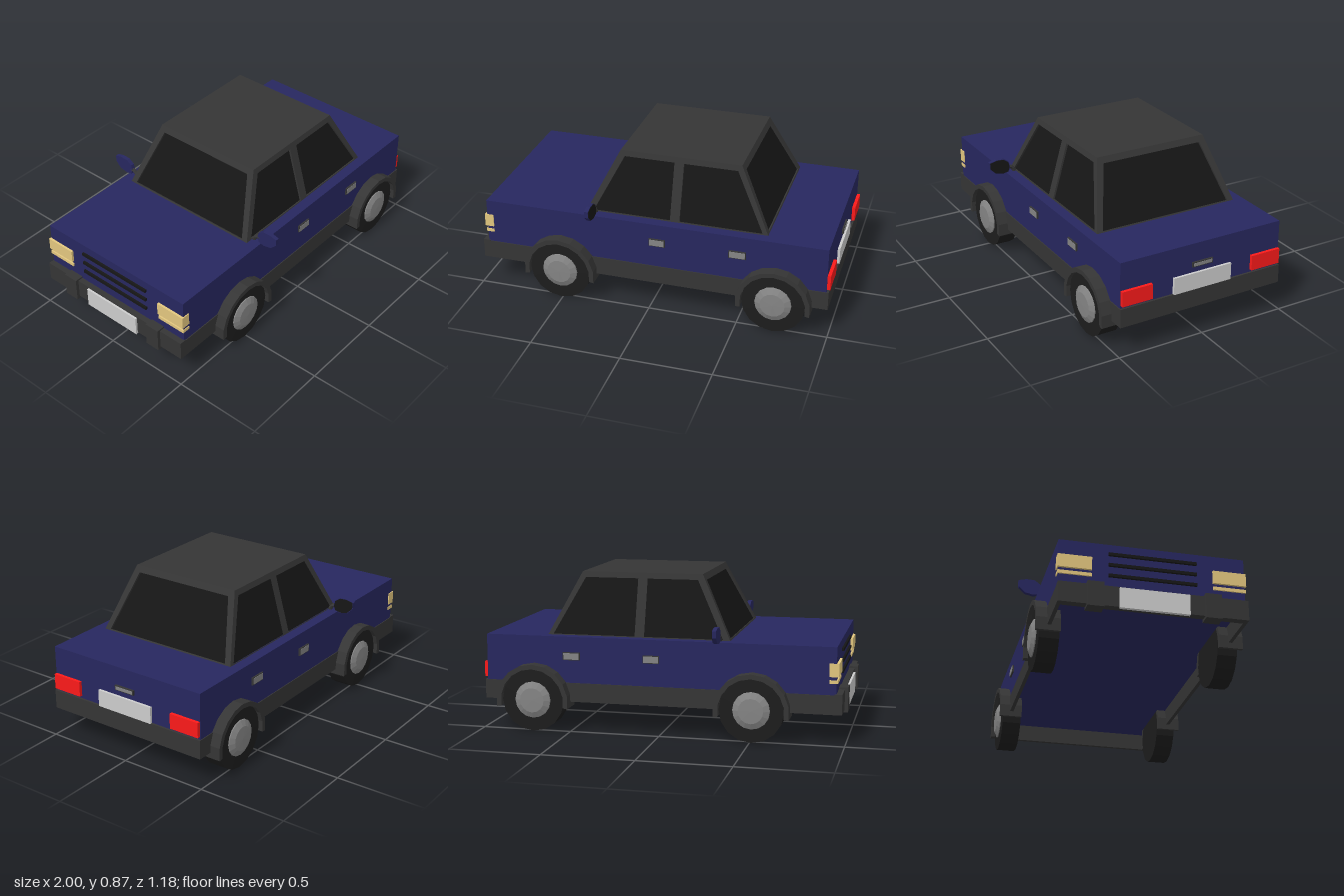
import * as THREE from 'three';

const mat = (color) => new THREE.MeshStandardMaterial({ color, flatShading: true });
const paint = mat(0x27275f), trim = mat(0x353535), glass = mat(0x161616), rubber = mat(0x1d1d1d);
const metal = mat(0x848484), plate = mat(0xc8c8c8), red = mat(0xfa1a1a), amber = mat(0xe2c67e);

export function createModel() {
  const car = new THREE.Group();
  car.name = 'car';

  const add = (name, geometry, material) => {
    const mesh = new THREE.Mesh(geometry, material);
    mesh.name = name;
    car.add(mesh);
    return mesh;
  };
  // Box given by its limits on each axis
  const box = (name, material, x0, x1, y0, y1, z0, z1) => {
    const m = add(name, new THREE.BoxGeometry(x1 - x0, y1 - y0, z1 - z0), material);
    m.position.set((x0 + x1) / 2, (y0 + y1) / 2, (z0 + z1) / 2);
  };
  // The same box on both sides of the car
  const pair = (name, material, x0, x1, y0, y1, z0, z1) => {
    box(name + 'Left', material, x0, x1, y0, y1, z0, z1);
    box(name + 'Right', material, x0, x1, y0, y1, -z1, -z0);
  };
  const poly = (pts) => pts.map(([x, y]) => new THREE.Vector2(x, y));
  const V = (x, y, z) => new THREE.Vector3(x, y, z);

  // Body (nose towards -x), with sills and bumpers hanging as a skirt around its floor
  box('body', paint, -0.95, 0.98, 0.262, 0.525, -0.485, 0.485);
  pair('sill', trim, -0.95, 0.98, 0.165, 0.27, 0.47, 0.49);
  box('rearBumper', trim, 0.97, 0.992, 0.165, 0.27, -0.49, 0.49);
  box('frontBumper', trim, -0.982, -0.94, 0.165, 0.275, -0.49, 0.49);
  pair('bumperGuard', trim, -1, -0.93, 0.15, 0.285, 0.26, 0.345);

  // Cabin: dark glass core inside a framed shell
  const y0 = 0.525, y1 = 0.868, h = y1 - y0, zb = 0.425, zt = 0.328;
  const frustum = ([xa, xb, z0, bottom], [xc, xd, z1, top]) => {
    const g = new THREE.BoxGeometry(1, 1, 1), p = g.attributes.position;
    for (let i = 0; i < p.count; i++) {
      const [x0, x1, z, y] = p.getY(i) > 0 ? [xc, xd, z1, top] : [xa, xb, z0, bottom];
      p.setXYZ(i, p.getX(i) > 0 ? x1 : x0, y, Math.sign(p.getZ(i)) * z);
    }
    g.computeVertexNormals();
    return g;
  };
  add('windows', frustum([-0.364, 0.632, zb - 0.01, y0], [-0.196, 0.461, zt - 0.01, 0.86]), glass);
  add('roof', frustum([-0.218, 0.483, 0.335, 0.842], [-0.205, 0.47, zt, y1]), trim);

  // A sloped panel with window openings, sunk inwards from its outer face
  const frame = (name, outline, holes, origin, u, v) => {
    const shape = new THREE.Shape(poly(outline));
    holes.forEach((hole) => shape.holes.push(new THREE.Path(poly(hole))));
    const depth = 0.014;
    const g = new THREE.ExtrudeGeometry(shape, { depth, bevelEnabled: false });
    g.translate(0, 0, -depth);
    v.normalize();
    const n = new THREE.Vector3().crossVectors(u, v);
    g.applyMatrix4(new THREE.Matrix4().makeBasis(u, v, n).setPosition(origin));
    add(name, g, trim);
  };
  for (const s of [1, -1]) {
    const L = Math.hypot(h, zb - zt), lo = 0.014 * L, hi = 0.91 * L;
    // u runs along +x on the left and -x on the right
    const f = (pts) => pts.map(([x, y]) => [x * s, y]);
    frame('sideFrame' + (s > 0 ? 'Left' : 'Right'),
      f([[-0.375, 0], [0.643, 0], [0.47, L], [-0.205, L]]),
      [f([[-0.335, lo], [0.1, lo], [0.1, hi], [-0.18, hi]]),
        f([[0.153, lo], [0.613, lo], [0.45, hi], [0.153, hi]])],
      V(0, y0, s * zb), V(s, 0, 0), V(0, h, -s * (zb - zt)));
  }
  for (const [name, s, xb, run] of [['windscreenFrame', -1, -0.375, 0.17], ['rearScreenFrame', 1, 0.643, 0.173]]) {
    const L = Math.hypot(h, run), lo = 0.02 * L, hi = 0.905 * L;
    frame(name, [[-zb, 0], [zb, 0], [zt, L], [-zt, L]],
      [[[-0.388, lo], [0.388, lo], [0.298, hi], [-0.298, hi]]],
      V(xb, y0, 0), V(0, 0, -s), V(-s * run, h, 0));
  }

  // Wheels with domed hubs, and faceted arches reaching in over the tyres
  const tyre = new THREE.LatheGeometry(poly([[0, 0.42], [0.175, 0.42], [0.175, 0.526],
    [0.1, 0.528], [0, 0.528]]), 16);
  const hub = new THREE.LatheGeometry(poly([[0.104, 0.52], [0.1, 0.533], [0.068, 0.548], [0, 0.55]]), 16);
  const a = 0.17, arch = new THREE.Shape();
  arch.absarc(0, 0, 0.205, -a, Math.PI + a, false);
  arch.absarc(0, 0, 0.179, Math.PI + a, -a, true);
  const archGeo = new THREE.ExtrudeGeometry(arch, { depth: 0.128, bevelEnabled: false, curveSegments: 5 });
  for (const [end, x] of [['front', -0.508], ['rear', 0.704]]) {
    for (const s of [1, -1]) {
      for (const [part, g, m] of [['Tyre', tyre, rubber], ['Hub', hub, metal]]) {
        const w = add(end + part, g, m);
        w.rotation.x = s * Math.PI / 2;
        w.position.set(x, 0.175, 0);
      }
      add(end + 'WheelArch', archGeo, trim).position.set(x, 0.169, s > 0 ? 0.42 : -0.548);
    }
  }

  // Door and boot handles: metal grips in dark housings
  for (const [name, x0, x1] of [['frontDoorHandle', 0, 0.09], ['rearDoorHandle', 0.445, 0.54]]) {
    pair(name + 'Housing', trim, x0, x1, 0.397, 0.44, 0.48, 0.494);
    pair(name, metal, x0 + 0.004, x1 - 0.004, 0.401, 0.436, 0.49, 0.496);
  }
  box('bootHandleHousing', trim, 0.975, 0.99, 0.394, 0.422, -0.062, 0.062);
  box('bootHandle', metal, 0.985, 0.992, 0.399, 0.417, -0.055, 0.055);

  // Lamps, plates and grille
  pair('tailLamp', red, 0.975, 0.998, 0.285, 0.37, 0.305, 0.482);
  pair('headlamp', amber, -0.963, -0.912, 0.367, 0.438, 0.315, 0.49);
  pair('indicator', amber, -0.958, -0.912, 0.332, 0.35, 0.315, 0.489);
  box('rearPlate', plate, 0.975, 0.994, 0.268, 0.362, -0.175, 0.175);
  box('frontPlate', plate, -0.994, -0.975, 0.157, 0.268, -0.18, 0.18);
  for (const y of [0.348, 0.408, 0.468]) {
    box('grilleSlat', glass, -0.962, -0.94, y - 0.008, y + 0.008, -0.23, 0.23);
  }

  // Wing mirrors: painted shell, dark glass and curved stalk
  const outline = [[0.588, 0.602], [0.545, 0.613], [0.5, 0.611], [0.468, 0.588], [0.46, 0.555],
    [0.47, 0.53], [0.505, 0.521], [0.552, 0.531], [0.586, 0.564]];
  for (const s of [1, -1]) {
    const slab = (name, k, x, depth, m) => {
      const pts = outline.map(([z, y]) => [-s * (0.525 + (z - 0.525) * k), 0.567 + (y - 0.567) * k]);
      const g = new THREE.ExtrudeGeometry(new THREE.Shape(poly(pts)), { depth, bevelEnabled: false });
      add(name, g.rotateY(Math.PI / 2).translate(x, 0, 0), m);
    };
    slab('mirrorShell', 1, -0.33, 0.022, paint);
    slab('mirrorGlass', 0.94, -0.312, 0.006, glass);
    const stalk = new THREE.QuadraticBezierCurve3(V(-0.32, 0.555, s * 0.475),
      V(-0.32, 0.56, s * 0.438), V(-0.32, 0.518, s * 0.43));
    add('mirrorStalk', new THREE.TubeGeometry(stalk, 5, 0.012, 6), trim);
  }
  return car;
}
